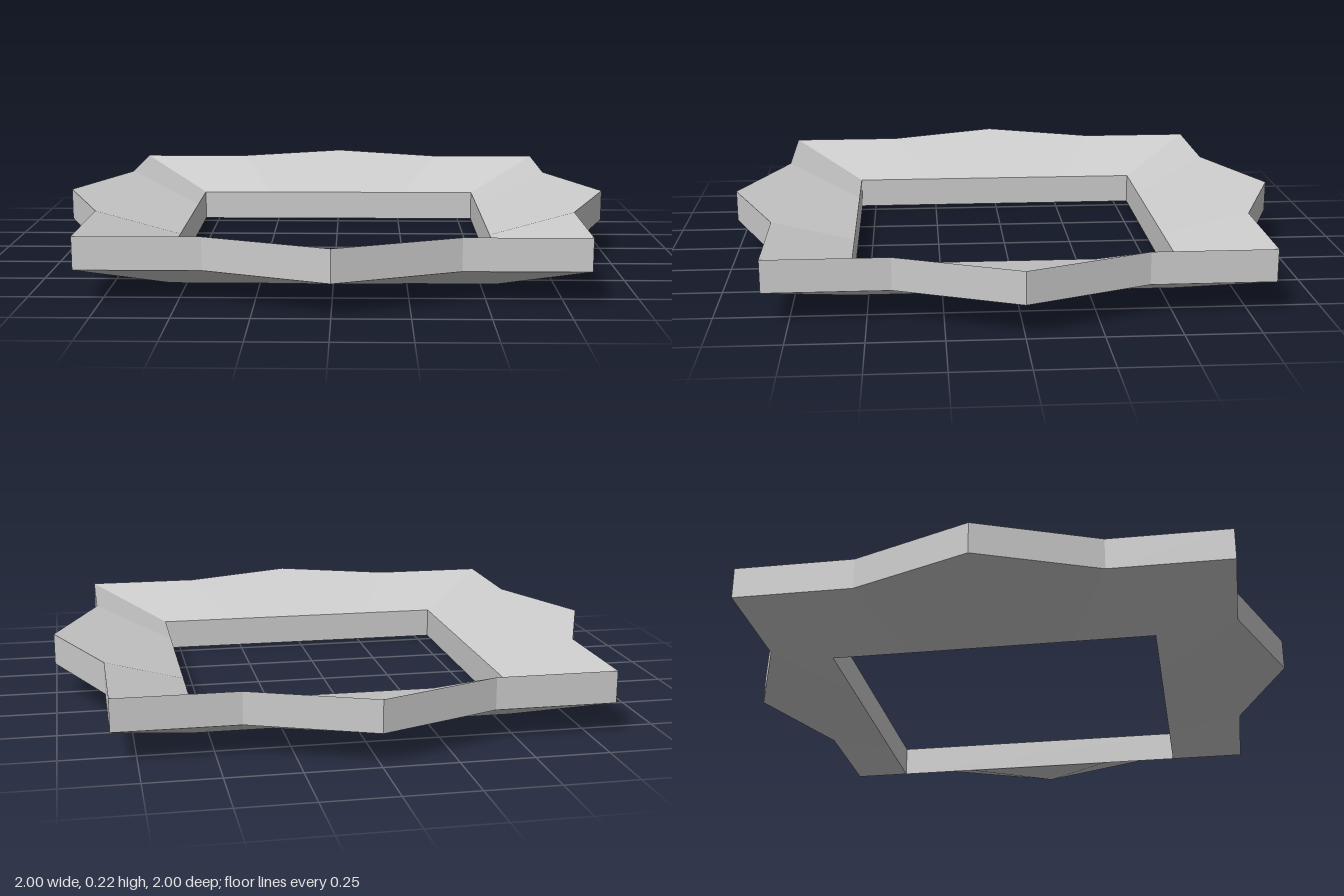
import * as THREE from 'three';

// Polygons with one flat normal each, fanned from their first corner.
function polygonGeometry(polygons) {
  const position = [], normal = [];
  for (const poly of polygons) {
    const n = new THREE.Vector3();
    poly.forEach((a, i) => n.add(new THREE.Vector3().crossVectors(a, poly[(i + 1) % poly.length])));
    n.normalize();
    for (let i = 1; i < poly.length - 1; i++) {
      for (const v of [poly[0], poly[i], poly[i + 1]]) {
        position.push(v.x, v.y, v.z);
        normal.push(n.x, n.y, n.z);
      }
    }
  }
  const geometry = new THREE.BufferGeometry();
  geometry.setAttribute('position', new THREE.Float32BufferAttribute(position, 3));
  geometry.setAttribute('normal', new THREE.Float32BufferAttribute(normal, 3));
  return geometry;
}

export function createModel() {
  const group = new THREE.Group();
  group.name = 'squareFrame';
  const grey = new THREE.MeshStandardMaterial({ color: 0xcccccc });
  grey.name = 'lightGrey';

  const inner = 0.5556, outer = 0.8333, tip = 1, thick = 0.1111;
  const drop = new THREE.Vector3(0, -thick, 0);
  const lower = (v) => v.clone().add(drop);

  // Upper outlines of one side, left to right: outer is high, inner is low
  const out = [[-outer, outer], [-outer / 2, outer], [0, tip], [outer / 2, outer], [outer, outer]]
    .map(([x, z]) => new THREE.Vector3(x, 2 * thick, z));
  const inn = [-inner, -inner / 2, inner / 2, inner].map((x) => new THREE.Vector3(x, thick, inner));

  // Sloping top: two flanks and the pointed middle
  const top = [
    [out[1], inn[1], inn[0], out[0]],
    [out[2], out[3], inn[2], inn[1], out[1]],
    [out[4], inn[3], inn[2], out[3]],
  ];
  // Underside keeps the same fan start so both skins stay parallel
  const bottom = top.map(([first, ...rest]) => [first, ...rest.reverse()].map(lower));
  top.forEach((p, i) => { top[i] = [p[0], ...p.slice(1)]; });

  // Vertical rims
  const walls = [];
  for (let i = 0; i < 4; i++) walls.push([lower(out[i]), lower(out[i + 1]), out[i + 1], out[i]]);
  walls.push([lower(inn[3]), lower(inn[0]), inn[0], inn[3]]);

  const geometry = polygonGeometry([...top, ...bottom, ...walls]);

  // Four equal mitred sides
  ['front', 'left', 'back', 'right'].forEach((name, i) => {
    const side = new THREE.Mesh(geometry, grey);
    side.name = name + 'Side';
    side.rotation.y = i * Math.PI / 2;
    group.add(side);
  });
  return group;
}
